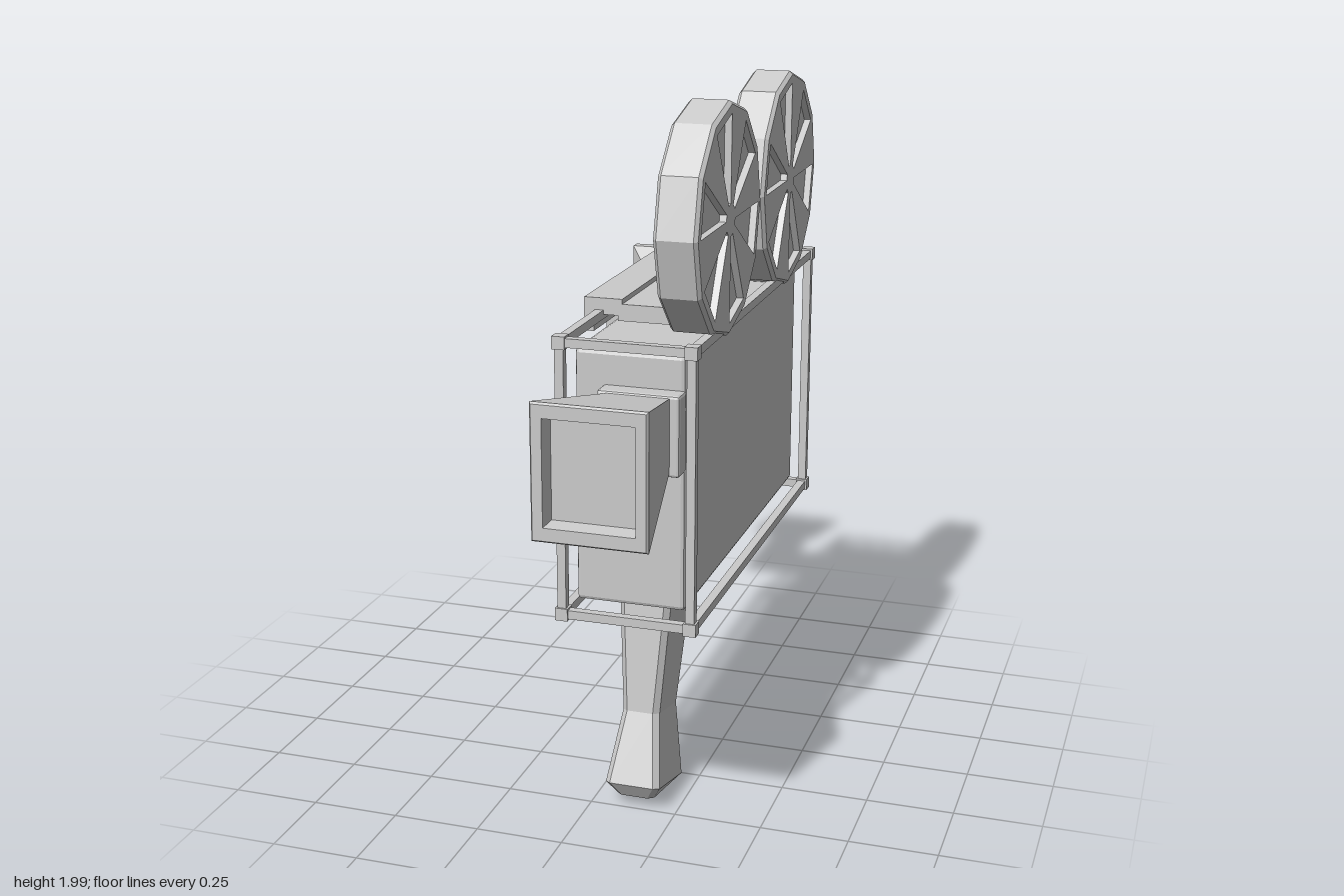
import * as THREE from 'three';
import { RoundedBoxGeometry } from 'three/addons/geometries/RoundedBoxGeometry.js';

const material = new THREE.MeshStandardMaterial({ color: 0xcccccc, flatShading: true });

function part(parent, name, geometry, x = 0, y = 0, z = 0) {
  const mesh = new THREE.Mesh(geometry, material);
  mesh.name = name;
  mesh.position.set(x, y, z);
  parent.add(mesh);
  return mesh;
}

// Box given by its min and max corners
function block(parent, name, [x0, y0, z0], [x1, y1, z1], bevel = 0) {
  const size = [x1 - x0, y1 - y0, z1 - z0];
  const geometry = bevel ? new RoundedBoxGeometry(...size, 1, bevel) : new THREE.BoxGeometry(...size);
  return part(parent, name, geometry, (x0 + x1) / 2, (y0 + y1) / 2, (z0 + z1) / 2);
}

// Skin over a series of rings of [x, y, z], closed at both ends
function loft(rings) {
  const n = rings[0].length, last = (rings.length - 1) * n, index = [];
  for (let r = 0; r < last; r += n) {
    for (let j = 0; j < n; j++) {
      const k = (j + 1) % n;
      index.push(r + j, r + k, r + n + k, r + j, r + n + k, r + n + j);
    }
  }
  for (let j = 1; j < n - 1; j++) {
    index.push(0, j + 1, j, last, last + j, last + j + 1);
  }
  const geometry = new THREE.BufferGeometry();
  geometry.setAttribute('position', new THREE.Float32BufferAttribute(rings.flat(2), 3));
  geometry.setIndex(index);
  const flat = geometry.toNonIndexed();
  flat.computeVertexNormals();
  return flat;
}

// Rectangular ring of half width w and half height h at depth z
const rect = ([w, h, z]) => [[-w, -h, z], [w, -h, z], [w, h, z], [-w, h, z]];

// Grip ring with chamfered corners, sloping from the back edge to the front edge
function gripRing([zBack, yBack, zFront, yFront, w]) {
  const c = 0.016;
  const outline = [[zBack, -w + c], [zBack + c, -w], [zFront - c, -w], [zFront, -w + c],
    [zFront, w - c], [zFront - c, w], [zBack + c, w], [zBack, w - c]];
  return outline.map(([z, x]) =>
    [x, yBack + (yFront - yBack) * (z - zBack) / (zFront - zBack), z]);
}

function polar(radius, degrees) {
  const a = THREE.MathUtils.degToRad(degrees);
  return new THREE.Vector2(radius * Math.cos(a), radius * Math.sin(a));
}

// Twelve-sided film reel with six wedge recesses on each face
function makeReel(name, z) {
  const reel = new THREE.Group();
  reel.name = name;
  const face = new THREE.Shape(Array.from({ length: 12 }, (_, i) => polar(0.31, i * 30)));
  for (let a = 30; a < 390; a += 60) {
    face.holes.push(new THREE.Path(
      [polar(0.045, a + 3), polar(0.285, a), polar(0.285, a + 30), polar(0.045, a + 27)]));
  }
  part(reel, 'reelSpokes', new THREE.ExtrudeGeometry(face, { depth: 0.12, bevelEnabled: false }), 0, 0, -0.06);
  part(reel, 'reelCore', new THREE.CylinderGeometry(0.3, 0.3, 0.08, 12)).rotation.x = Math.PI / 2;
  const rim = [[0.31, -0.06], [0.32, -0.05], [0.32, 0.05], [0.31, 0.06]].map(p => new THREE.Vector2(...p));
  part(reel, 'reelRim', new THREE.LatheGeometry(rim, 12)).rotation.x = Math.PI / 2;
  reel.rotation.y = Math.PI / 2;
  reel.position.set(0.27, 1.68, z);
  return reel;
}

// Profile in x and y drawn out along z
function extrudeZ(points, z0, z1) {
  const shape = new THREE.Shape(points.map(p => new THREE.Vector2(...p)));
  return new THREE.ExtrudeGeometry(shape, { depth: z1 - z0, bevelEnabled: false }).translate(0, 0, z0);
}

export function createModel() {
  const model = new THREE.Group();
  model.name = 'movieCamera';

  block(model, 'body', [-0.03, 0.64, -0.69], [0.28, 1.36, 0.52], 0.012);

  // Cage of thin bars with corner blocks
  const cage = new THREE.Group();
  cage.name = 'cage';
  model.add(cage);
  const X = [-0.055, 0.312], Y = [0.613, 1.385], Z = [-0.724, 0.563], t = 0.0125;
  for (const x of X) for (const y of Y)
    block(cage, 'longBar', [x - t, y - t, Z[0]], [x + t, y + t, Z[1]]);
  for (const x of X) for (const z of Z)
    block(cage, 'uprightBar', [x - t, Y[0], z - t], [x + t, Y[1], z + t]);
  for (const y of Y) for (const z of Z)
    block(cage, 'crossBar', [X[0], y - t, z - t], [X[1], y + t, z + t]);
  for (const x of X) for (const y of Y) for (const z of Z)
    part(cage, 'cornerBlock', new THREE.BoxGeometry(0.036, 0.036, 0.036), x, y, z);

  // Lens flange and flared hood with a recessed front
  block(model, 'lensFlange', [0.05, 1.04, 0.51], [0.28, 1.265, 0.575], 0.008);
  part(model, 'lensHood', loft([
    [0.085, 0.1, 0.56], [0.155, 0.183, 0.96], [0.15, 0.178, 0.967],
    [0.122, 0.143, 0.967], [0.115, 0.136, 0.92],
  ].map(rect)), 0.165, 1.155, 0);

  // Front button
  part(model, 'buttonStem', new THREE.CylinderGeometry(0.016, 0.016, 0.04, 12), 0.065, 0.87, 0.53).rotation.x = Math.PI / 2;
  part(model, 'frontButton', new THREE.CylinderGeometry(0.018, 0.025, 0.02, 12), 0.065, 0.87, 0.55).rotation.x = Math.PI / 2;

  // Pistol grip
  part(model, 'handle', loft([
    [0.29, 0.011, 0.487, 0.04, 0.055],
    [0.27, 0.026, 0.517, 0.088, 0.08],
    [0.245, 0.24, 0.435, 0.28, 0.054],
    [0.14, 0.65, 0.39, 0.65, 0.078],
  ].map(gripRing)), 0.125, 0, 0);

  // Viewfinder: side arm, tube and flared eyepiece with a recessed end
  block(model, 'viewfinderArm', [-0.285, 1.145, -0.62], [-0.02, 1.275, -0.49]);
  part(model, 'eyepiece', loft([
    [0.066, 0.065, 0.49], [0.06, 0.06, 0.865], [0.12, 0.116, 0.932], [0.12, 0.116, 0.967],
    [0.09, 0.087, 0.967], [0.085, 0.082, 0.935],
  ].map(rect)), -0.222, 1.21, 0).rotation.y = Math.PI;

  // Reels and the bent bracket that carries them
  model.add(makeReel('frontReel', 0.275), makeReel('rearReel', -0.39));
  part(model, 'reelBracket', extrudeZ([
    [0, 1.37], [0.212, 1.37], [0.212, 1.66], [0.198, 1.66], [0.19, 1.435], [0.172, 1.418], [0, 1.418],
  ], -0.42, 0.245));
  part(model, 'topCover', extrudeZ([
    [-0.1, 1.335], [-0.072, 1.335], [-0.072, 1.385], [0.012, 1.385], [0.012, 1.432], [-0.1, 1.432],
  ], -0.42, 0.245));

  // Control panel on the side: rim, screen and two knobs
  const panel = new THREE.Group();
  panel.name = 'controlPanel';
  model.add(panel);
  const y0 = 0.89, y1 = 1.22, z0 = -0.25, z1 = 0.35, w = 0.025;
  for (const [a, b] of [[y0, y0 + w], [y1 - w, y1]])
    block(panel, 'panelRim', [-0.05, a, z0], [-0.02, b, z1]);
  for (const [a, b] of [[z0, z0 + w], [z1 - w, z1]])
    block(panel, 'panelRim', [-0.05, y0 + w, a], [-0.02, y1 - w, b]);
  block(panel, 'screen', [-0.044, 0.95, -0.2], [-0.02, 1.16, 0.11]);
  for (const y of [1.0, 1.12])
    part(panel, 'knob', new THREE.CylinderGeometry(0.04, 0.034, 0.035, 16), -0.04, y, 0.2).rotation.z = -Math.PI / 2;

  return model;
}
